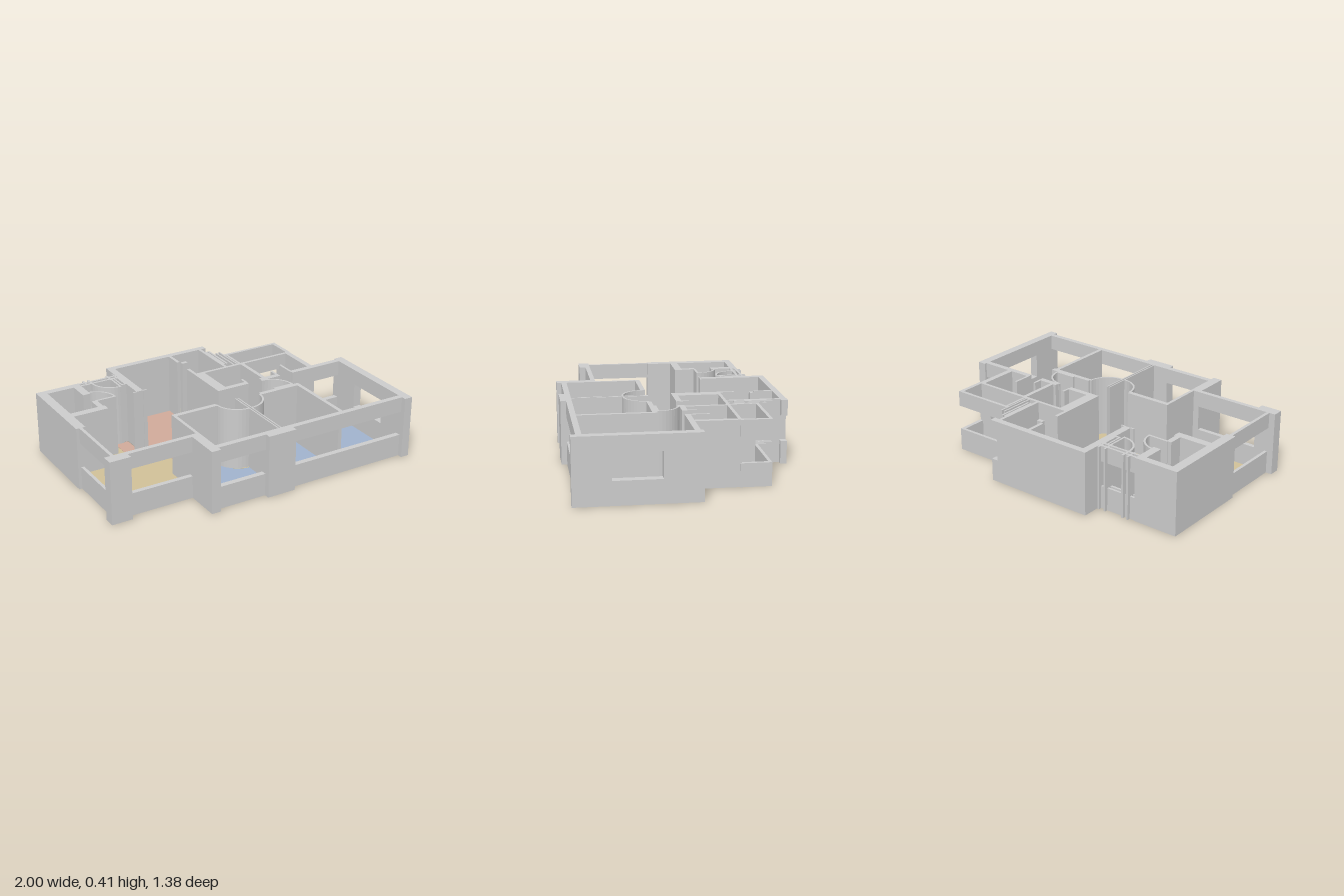
import * as THREE from 'three';

const H = 0.405, SILL = 0.145, HEAD = 0.305, PI = Math.PI;

export function createModel() {
  const model = new THREE.Group();
  const wallMat = new THREE.MeshStandardMaterial({ color: 0xcccccc });

  const group = (name) => {
    const g = new THREE.Group();
    g.name = name;
    model.add(g);
    return g;
  };
  // Box on the plan between x0..x1 and z0..z1
  function wall(parent, name, x0, x1, z0, z1, y0 = 0, y1 = H) {
    const m = new THREE.Mesh(new THREE.BoxGeometry(x1 - x0, y1 - y0, z1 - z0), wallMat);
    m.position.set((x0 + x1) / 2, (y0 + y1) / 2, (z0 + z1) / 2);
    m.name = name;
    parent.add(m);
  }
  // Wall with a window opening: parapet below, lintel above
  function windowWall(parent, ...plan) {
    wall(parent, 'parapet', ...plan, 0, SILL);
    wall(parent, 'lintel', ...plan, HEAD, H);
  }
  // Raise a plan outline (x, z) from y0 to y1
  function slab(parent, name, points, y0, y1, material) {
    const shape = new THREE.Shape(points.map((p) => new THREE.Vector2(...p)));
    const g = new THREE.ExtrudeGeometry(shape, { depth: y1 - y0, bevelEnabled: false });
    const m = new THREE.Mesh(g.rotateX(PI / 2).translate(0, y1, 0), material);
    m.name = name;
    parent.add(m);
  }
  const arc = (cx, cz, r, a0, a1, n = 10) => Array.from({ length: n + 1 }, (_, i) => {
    const a = a0 + (a1 - a0) * i / n;
    return [cx + r * Math.cos(a), cz + r * Math.sin(a)];
  });
  const rect = (x0, x1, z0, z1) => [[x0, z0], [x1, z0], [x1, z1], [x0, z1]];

  // Pillars on the front side
  const pillars = group('pillars');
  wall(pillars, 'cornerPillar', -1, -0.865, 0.43, 0.5);
  wall(pillars, 'frontPillar', -0.445, -0.385, 0.43, 0.685);
  wall(pillars, 'frontPillar', -0.06, 0.13, 0.62, 0.69);

  // Front and side window walls
  const facade = group('facade');
  windowWall(facade, -0.96, -0.94, 0.02, 0.43);
  windowWall(facade, -0.865, -0.445, 0.43, 0.46);
  windowWall(facade, -0.385, -0.06, 0.62, 0.655);
  windowWall(facade, 0.13, 0.945, 0.62, 0.655);
  windowWall(facade, 0.945, 1, 0.17, 0.46);
  windowWall(facade, 0.75, 0.945, -0.045, -0.01);
  wall(facade, 'sideWall', 0.945, 1, -0.06, 0.17);
  wall(facade, 'sideWall', 0.945, 1, 0.46, 0.685);

  // Store room
  const store = group('storeRoom');
  wall(store, 'sideWall', -0.98, -0.92, -0.57, 0.02);
  wall(store, 'backWall', -0.92, -0.74, -0.57, -0.525);
  wall(store, 'frontWall', -0.92, -0.69, -0.19, -0.14);
  wall(store, 'partition', -0.74, -0.69, -0.57, -0.39);
  wall(store, 'partition', -0.735, -0.7, -0.28, -0.19);

  // Entrance: double window frame with posts, and a narrow shaft
  const entrance = group('entrance');
  for (const z of [-0.565, -0.535]) windowWall(entrance, -0.69, -0.43, z, z + 0.015);
  for (const x of [-0.655, -0.62, -0.49, -0.445]) wall(entrance, 'post', x, x + 0.013, -0.585, -0.515);
  for (const x of [-0.465, -0.44]) wall(entrance, 'shaftWall', x, x + 0.01, -0.52, -0.41);
  wall(entrance, 'shaftWall', -0.465, -0.43, -0.415, -0.405);

  // Hall
  const hall = group('hall');
  wall(hall, 'sideWall', -0.43, -0.385, -0.695, -0.265);
  wall(hall, 'backWall', -0.385, 0.255, -0.695, -0.655);
  for (const x of [-0.455, -0.385]) wall(hall, 'doorStop', x, x + 0.025, -0.27, -0.26);

  // Kitchen, with window rails stacked outside its wall
  const kitchen = group('kitchen');
  wall(kitchen, 'partition', 0.015, 0.035, -0.655, -0.54);
  wall(kitchen, 'partition', 0.015, 0.035, -0.41, -0.32);
  wall(kitchen, 'doorLeaf', 0.035, 0.075, -0.53, -0.505);
  wall(kitchen, 'sideWall', 0.245, 0.265, -0.655, -0.3);
  windowWall(kitchen, 0.255, 0.3, -0.695, -0.655);
  for (const x of [0.265, 0.285]) windowWall(kitchen, x, x + 0.013, -0.6, -0.36);
  for (const x of [0.315, 0.34]) windowWall(kitchen, x, x + 0.01, -0.55, -0.31);

  // Balcony
  const balcony = group('balcony');
  windowWall(balcony, 0.35, 0.755, -0.5, -0.48);
  windowWall(balcony, 0.73, 0.755, -0.48, -0.31);
  wall(balcony, 'partition', 0.355, 0.37, -0.48, -0.32);

  // Two bathrooms
  const bathrooms = group('bathrooms');
  wall(bathrooms, 'sideWall', 0.015, 0.085, -0.32, -0.01);
  wall(bathrooms, 'sideWall', 0.715, 0.75, -0.32, -0.01);
  wall(bathrooms, 'divider', 0.36, 0.385, -0.3, -0.03);
  wall(bathrooms, 'backWall', 0.085, 0.43, -0.32, -0.3);
  windowWall(bathrooms, 0.43, 0.66, -0.32, -0.3);
  wall(bathrooms, 'backWall', 0.66, 0.715, -0.32, -0.3);
  for (const [x0, x1] of [[0.085, 0.24], [0.34, 0.48], [0.575, 0.715]]) {
    wall(bathrooms, 'frontWall', x0, x1, -0.045, -0.01);
  }
  for (const [x, z] of [[0.23, -0.09], [0.465, -0.1], [0.57, -0.16]]) {
    wall(bathrooms, 'doorLeaf', x, x + 0.015, z, -0.03);
  }

  // Bedroom partitions
  const bedrooms = group('bedrooms');
  wall(bedrooms, 'sideWall', -0.405, -0.385, 0.14, 0.43);
  wall(bedrooms, 'hallWall', -0.385, -0.1, 0.14, 0.17);
  wall(bedrooms, 'hallWall', 0.22, 0.49, 0.14, 0.17);
  wall(bedrooms, 'divider', 0.49, 0.515, 0.14, 0.62);
  for (const x of [0.045, 0.062]) wall(bedrooms, 'divider', x, x + 0.008, 0.14, 0.62);

  // Curved door swings and the leaves that stand open
  const doors = group('doors');
  function doorSwing(cx, cz, r, a0) {
    const a1 = a0 + PI / 2;
    slab(doors, 'doorSwing', [...arc(cx, cz, r, a0, a1), ...arc(cx, cz, r - 0.012, a1, a0)], 0, H, wallMat);
  }
  doorSwing(0.045, 0.155, 0.15, PI / 2);
  doorSwing(0.07, 0.155, 0.15, 0);
  doorSwing(0.335, 0.13, 0.145, -PI / 2);
  doorSwing(-0.71, -0.28, 0.14, -PI / 2);
  doorSwing(-0.48, -0.525, 0.14, PI / 2);
  wall(doors, 'doorLeaf', 0.335, 0.48, 0.125, 0.14);
  wall(doors, 'doorLeaf', -0.71, -0.57, -0.285, -0.27);
  wall(doors, 'doorLeaf', -0.485, -0.473, -0.525, -0.385);

  // Coloured floors: a smaller inset makes a floor cover its neighbours on both faces
  const floors = group('floors');
  function floor(name, color, inset, points) {
    slab(floors, name, points, inset, 0.006 - inset, new THREE.MeshStandardMaterial({ color }));
  }
  floor('hallFloor', 0xcfa999, 0, [
    [-0.385, -0.655], [0.02, -0.655], [0.02, -0.015], ...arc(0.335, 0.13, 0.145, -PI / 2, -0.28),
    [-0.16, 0.09], [-0.2, 0.07], [-0.53, -0.25], [-0.53, -0.39], [-0.44, -0.39],
    [-0.44, -0.265], [-0.385, -0.265],
  ]);
  floor('livingFloor', 0xcfc097, 0.001, [
    [-0.945, 0.43], [-0.945, -0.14], [-0.69, -0.14], [-0.69, -0.28],
    ...arc(-0.71, -0.28, 0.14, 0, -1.43), [-0.69, -0.52], [-0.62, -0.52],
    ...arc(-0.48, -0.525, 0.14, PI, 1.95), [-0.53, -0.25], [-0.2, 0.07],
    [0.47, 0.07], [0.47, 0.155], ...arc(0.0575, 0.155, 0.16, 0, PI), [-0.4, 0.155], [-0.4, 0.43],
  ]);
  const blue = 0xa0b2cc, teal = 0x98c1c1;
  floor('leftBedroomFloor', blue, 0.002, rect(-0.385, 0.05, 0.17, 0.62));
  floor('middleBedroomFloor', blue, 0.002, rect(0.065, 0.495, 0.17, 0.62));
  floor('rightBedroomFloor', blue, 0.002, [
    [0.34, -0.015], [0.945, -0.015], [0.945, 0.62], [0.51, 0.62], [0.51, 0.13], [0.4, 0.13],
  ]);
  floor('bathroomFloor', teal, 0.002, rect(0.085, 0.36, -0.3, -0.04));
  floor('bathroomFloor', teal, 0.002, rect(0.385, 0.715, -0.3, -0.04));
  floor('kitchenFloor', 0xb4b5ab, 0.002, rect(0.035, 0.245, -0.655, -0.32));
  floor('balconyFloor', 0xa5a4a5, 0.002, rect(0.37, 0.73, -0.48, -0.32));
  floor('storeFloor', 0xc0bbb3, 0.002, rect(-0.92, -0.74, -0.525, -0.19));
  floor('entranceFloor', 0xb9b2a3, 0.002, [[-0.48, -0.525], ...arc(-0.48, -0.525, 0.135, PI / 2, PI)]);
  return model;
}
